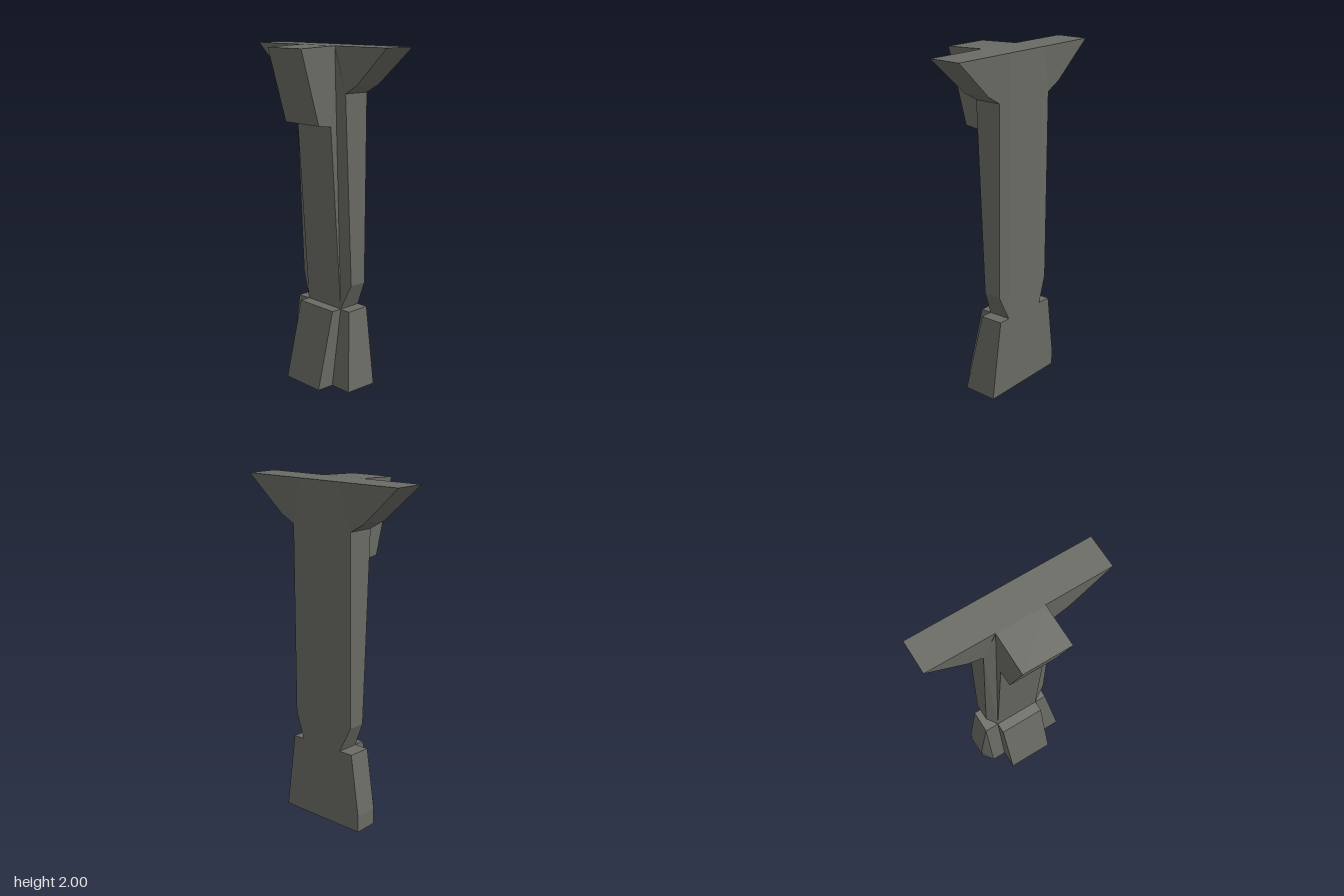
import * as THREE from 'three';
import { ConvexGeometry } from 'three/addons/geometries/ConvexGeometry.js';

export function createModel() {
  const group = new THREE.Group();
  const stone = new THREE.MeshStandardMaterial({ color: 0x6b6b65 });
  stone.name = 'greyStone';

  const add = (name, geometry) => {
    const mesh = new THREE.Mesh(geometry, stone);
    mesh.name = name;
    group.add(mesh);
  };
  // Faceted solid around a few corner points
  const solid = (name, corners) =>
    add(name, new ConvexGeometry(corners.map(c => new THREE.Vector3(...c))));

  const back = -0.222;

  // Shaft: narrow neck, chamfered long edges that fade out at the top
  // rows: y, outer x, outer front z, inner front z, outer back z
  const rows = [
    [0.465, 0.14, -0.08, -0.08, back],
    [0.62, 0.21, -0.1, -0.074, -0.207],
    [1.74, 0.21, -0.042, -0.031, -0.207],
    [2, 0.14, -0.022, -0.022, back],
  ];
  const shaft = [];
  for (const [y, x, outerFront, innerFront, outerBack] of rows) {
    for (const s of [-1, 1]) {
      shaft.push([s * x, y, outerFront], [s * 0.14, y, innerFront],
        [s * x, y, outerBack], [s * 0.14, y, back]);
    }
  }
  solid('shaft', shaft);

  // Flared bracket wings at the top
  for (const s of [-1, 1]) {
    const wing = [];
    for (const [x, y, front, rear] of [
      [0.14, 2, -0.024, back], [0.21, 1.74, -0.042, -0.207],
      [0.3, 1.79, -0.038, -0.21], [0.535, 2, -0.026, back],
    ]) {
      wing.push([s * x, y, front], [s * x, y, rear]);
    }
    solid(s > 0 ? 'leftWing' : 'rightWing', wing);
  }

  // Tapered plinth, with one lower corner cut off
  solid('plinth', [
    [-0.23, 0.47, back], [0.215, 0.47, back], [-0.23, 0.465, -0.08], [0.215, 0.465, -0.08],
    [0.282, 0, back], [0.282, 0, -0.015], [-0.23, 0, -0.015],
    [-0.282, 0, -0.08], [-0.282, 0, back], [-0.282, 0.1, -0.08], [-0.282, 0.1, back],
  ]);

  // Central rib: foot, sloping face and projecting head, drawn in (z, y)
  const profile = new THREE.Shape([
    [-0.2, 0], [0.095, 0], [-0.015, 0.465], [-0.08, 0.467], [0.005, 1.555],
    [0.095, 1.565], [0.222, 1.99], [-0.02, 2], [-0.2, 2],
  ].map(p => new THREE.Vector2(...p)));
  const rib = new THREE.ExtrudeGeometry(profile, { depth: 0.284, bevelEnabled: false });
  rib.rotateY(-Math.PI / 2).translate(0.142, 0, 0);
  add('centralRib', rib);

  return group;
}
